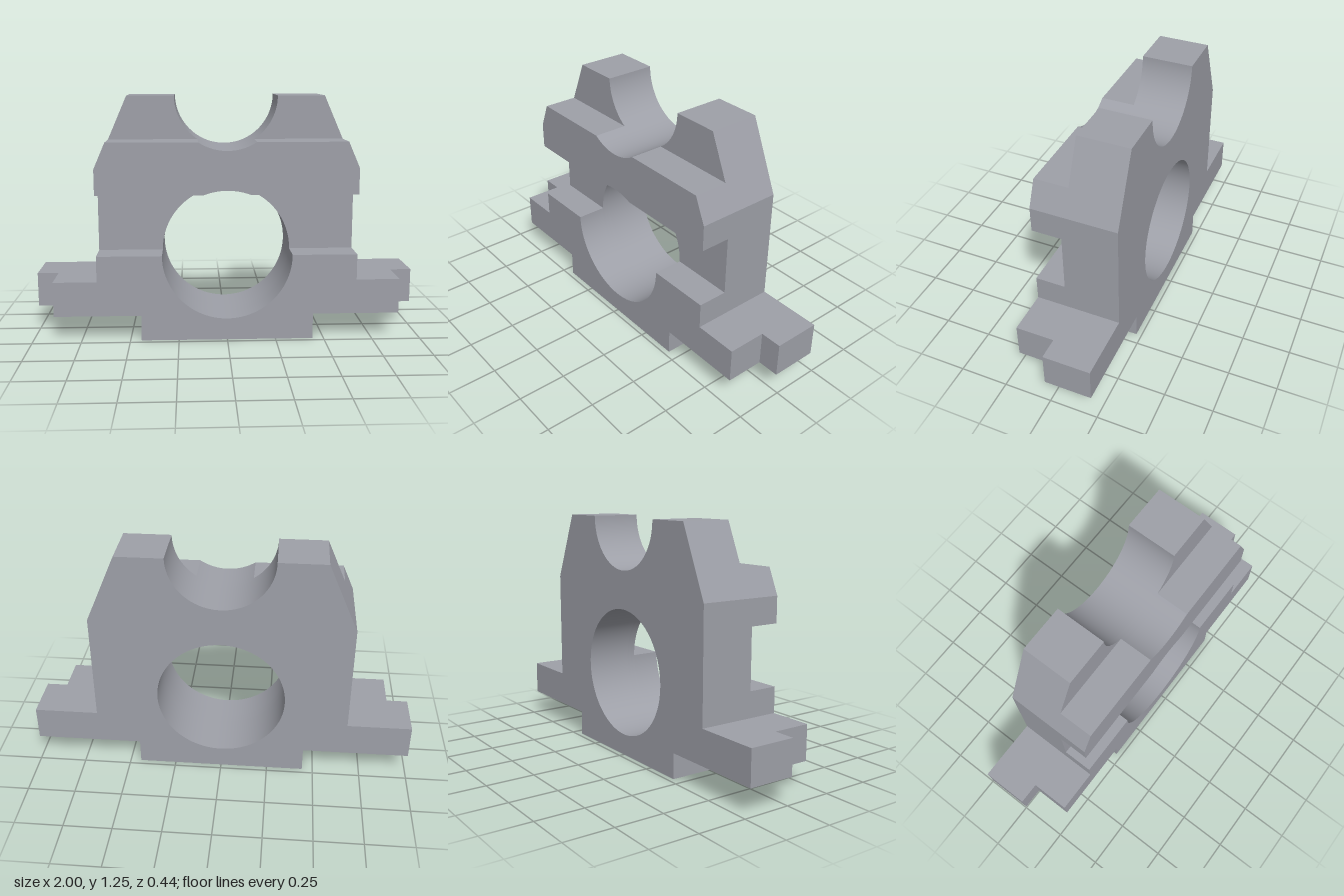
import * as THREE from 'three';
import { toCreasedNormals } from 'three/addons/utils/BufferGeometryUtils.js';

const BACK = -0.222, EAR_STEP = 0.022, TOP_STEP = 0.044, SLOT = 0.066, FRONT = 0.222;
const TOP = 1.245, LEDGE = 1.022, SLOT_TOP = 0.756, BORE_Y = 0.445;
const BORE_R = 0.333, SADDLE_R = 0.267;
const SIDE = 0.666, SHOULDER = 0.889, CREST = 0.51;
const FOOT = 0.443, EAR = 0.889, EAR_BOTTOM = 0.132, EAR_TOP = 0.312;

// half width of the sloped shoulder at height y
const slopeX = (y) => SIDE - (SIDE - CREST) * (y - SHOULDER) / (TOP - SHOULDER);

// right side of foot and ear, from the bottom up
const baseRight = (earX) => [
  [FOOT, 0], [FOOT, EAR_BOTTOM], [earX, EAR_BOTTOM], [earX, EAR_TOP], [SIDE, EAR_TOP],
];

function trace(shape, points, mirrored = false) {
  const list = mirrored ? [...points].reverse() : points;
  for (const [x, y] of list) shape.lineTo(mirrored ? -x : x, y);
}

// clockwise arc on a fixed angular grid, so neighbouring slabs share its facets
function arc(path, cy, r, from, to) {
  const step = Math.PI / 64;
  const angles = [from];
  for (let i = Math.ceil(from / step) - 1; i * step > to + 1e-6; i--) {
    if (i * step < from - 1e-6) angles.push(i * step);
  }
  angles.push(to);
  for (const a of angles) path.lineTo(r * Math.cos(a), cy + r * Math.sin(a));
}

// shoulders up to a flat top, with the round saddle cut into it
function addTop(shape, top) {
  const side = [[SIDE, SHOULDER], [slopeX(top), top]];
  const a = -Math.asin((TOP - top) / SADDLE_R);
  trace(shape, side);
  arc(shape, TOP, SADDLE_R, a, -Math.PI - a);
  trace(shape, side, true);
}

// whole outline with the round bore
function bodyShape(earX, top) {
  const shape = new THREE.Shape();
  const base = baseRight(earX);
  shape.moveTo(-FOOT, 0);
  trace(shape, base);
  addTop(shape, top);
  trace(shape, base, true);
  const bore = new THREE.Path();
  bore.moveTo(BORE_R, BORE_Y);
  arc(bore, BORE_Y, BORE_R, 0, -Math.PI * 2);
  shape.holes.push(bore);
  return shape;
}

// front block below the slot, open half bore
function lowerShape(earX) {
  const shape = new THREE.Shape();
  const side = [...baseRight(earX), [SIDE, BORE_Y]];
  shape.moveTo(-FOOT, 0);
  trace(shape, side);
  arc(shape, BORE_Y, BORE_R, 0, -Math.PI);
  trace(shape, side, true);
  return shape;
}

// front bar above the slot, its underside nicked by the bore
function upperShape() {
  const shape = new THREE.Shape();
  const a = Math.asin((SLOT_TOP - BORE_Y) / BORE_R);
  shape.moveTo(-SIDE, SLOT_TOP);
  arc(shape, BORE_Y, BORE_R, Math.PI - a, a);
  shape.lineTo(SIDE, SLOT_TOP);
  addTop(shape, LEDGE);
  return shape;
}

export function createModel() {
  const group = new THREE.Group();
  group.name = 'bearingBracket';
  const material = new THREE.MeshStandardMaterial({ color: 0x9ea0a8 });

  const slab = (name, shape, z0, z1) => {
    const geometry = new THREE.ExtrudeGeometry(shape, { depth: z1 - z0, bevelEnabled: false });
    geometry.translate(0, 0, z0);
    const mesh = new THREE.Mesh(toCreasedNormals(geometry, Math.PI / 9), material);
    mesh.name = name;
    group.add(mesh);
  };

  slab('backPlate', bodyShape(1, TOP), BACK, EAR_STEP);
  slab('middlePlate', bodyShape(EAR, TOP), EAR_STEP, TOP_STEP);
  slab('ledgePlate', bodyShape(EAR, LEDGE), TOP_STEP, SLOT);
  slab('lowerFrontBlock', lowerShape(EAR), SLOT, FRONT);
  slab('upperFrontBar', upperShape(), SLOT, FRONT);
  return group;
}
